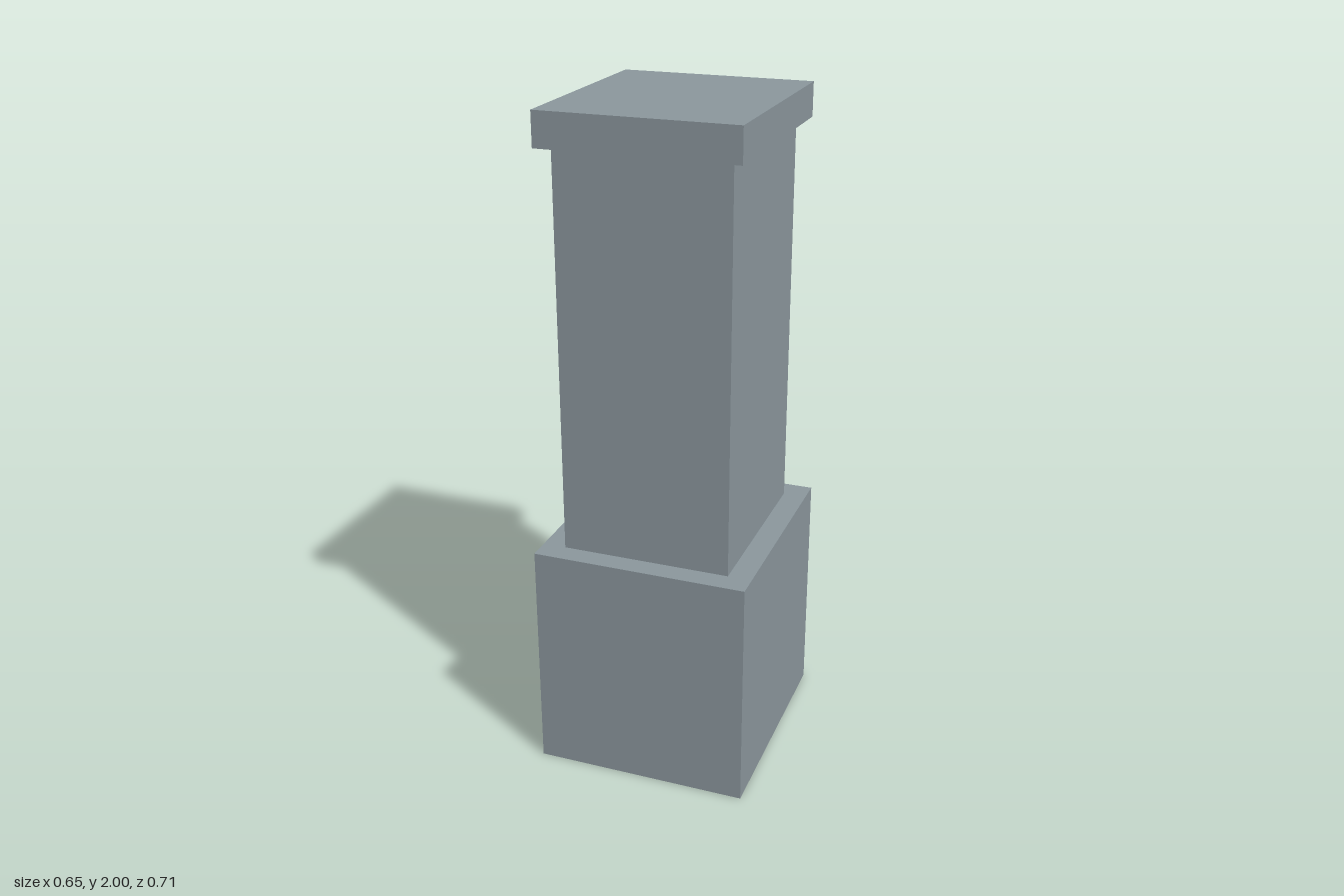
import * as THREE from 'three';

export function createModel() {
  const group = new THREE.Group();
  group.name = 'pillar';
  const stone = new THREE.MeshStandardMaterial({ color: 0x8b979d });
  stone.name = 'blue grey stone';

  // Adds a square-edged block resting at height y
  const addBlock = (name, width, height, depth, y, x = 0, z = 0) => {
    const block = new THREE.Mesh(new THREE.BoxGeometry(width, height, depth), stone);
    block.name = name;
    block.position.set(x, y + height / 2, z);
    group.add(block);
  };

  // Plinth, shaft and overhanging cap
  addBlock('plinth', 0.646, 0.71, 0.706, 0);
  addBlock('shaft', 0.506, 1.19, 0.57, 0.71, -0.001, 0.001);
  addBlock('cap', 0.577, 0.1, 0.654, 1.9, -0.001, -0.001);

  return group;
}
